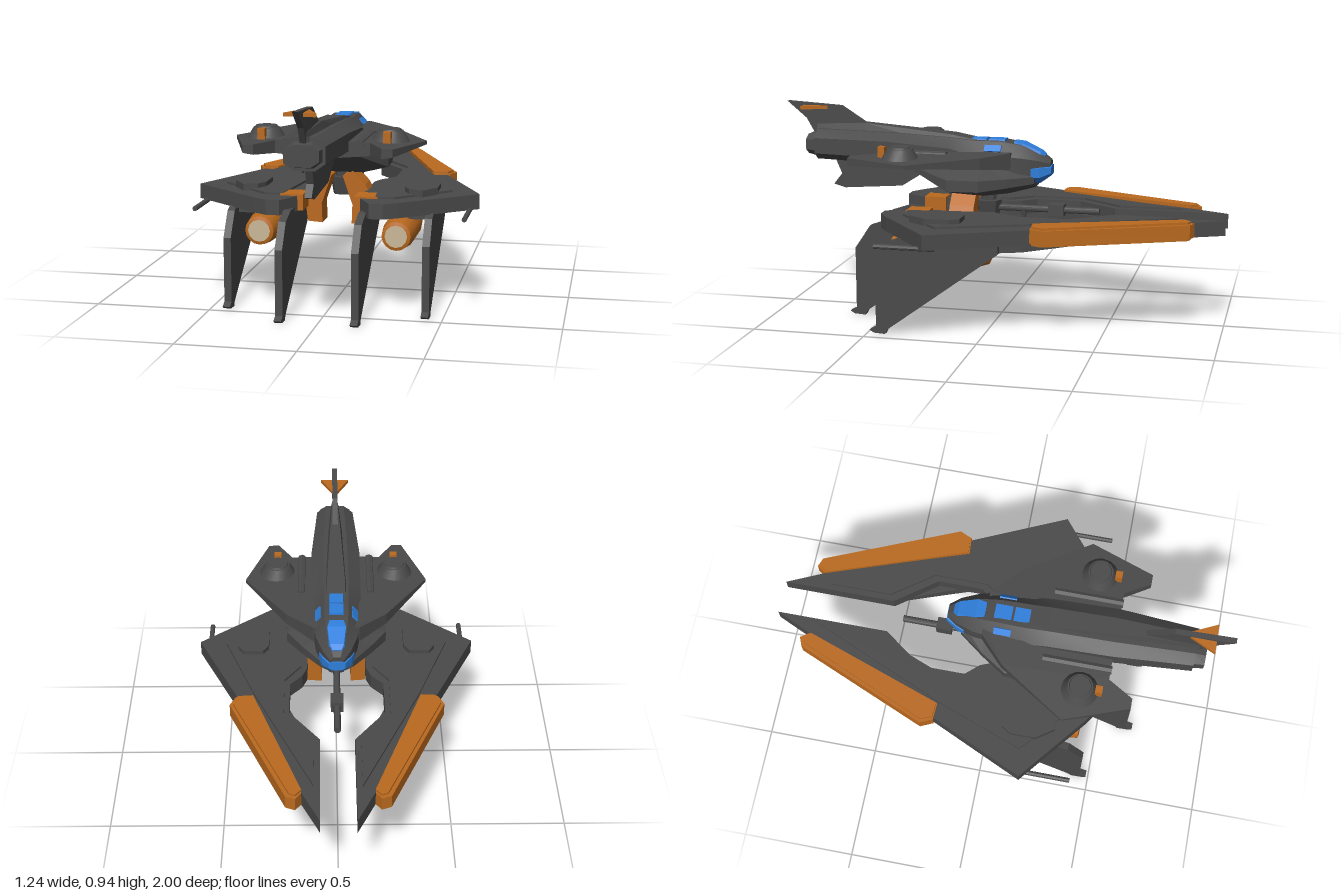
import * as THREE from 'three';
import { toCreasedNormals } from 'three/addons/utils/BufferGeometryUtils.js';

const paint = (name, color) => {
  const m = new THREE.MeshStandardMaterial({ color });
  m.name = name;
  return m;
};

// Skin a list of [z, ring] sections (z rising, ring counter-clockwise from +z), flat faces
function loft(sections) {
  const v = [];
  const put = (z, p) => v.push(p[0], p[1], z);
  const n = sections[0][1].length;
  for (let i = 0; i + 1 < sections.length; i++) {
    const [za, a] = sections[i], [zb, b] = sections[i + 1];
    for (let j = 0; j < n; j++) {
      const k = (j + 1) % n;
      put(za, a[j]); put(za, a[k]); put(zb, b[k]);
      put(za, a[j]); put(zb, b[k]); put(zb, b[j]);
    }
  }
  const [z0, first] = sections[0], [z1, last] = sections[sections.length - 1];
  for (let j = 1; j + 1 < n; j++) {
    put(z0, first[0]); put(z0, first[j + 1]); put(z0, first[j]);
    put(z1, last[0]); put(z1, last[j]); put(z1, last[j + 1]);
  }
  const g = new THREE.BufferGeometry();
  g.setAttribute('position', new THREE.Float32BufferAttribute(v, 3));
  g.computeVertexNormals();
  return g;
}

// Eight-sided hull section, and a four-sided one
const octagon = ([z, w, yb, y1, y2, yt]) => [z, [
  [w * 0.5, yb], [w, y1], [w, y2], [w * 0.5, yt],
  [-w * 0.5, yt], [-w, y2], [-w, y1], [-w * 0.5, yb]]];
const quad = (z, wb, wt, yb, yt) => [z, [[-wb, yb], [wb, yb], [wt, yt], [-wt, yt]]];

const shapeOf = pts => new THREE.Shape(pts.map(p => new THREE.Vector2(p[0], p[1])));
const extrude = (pts, depth) =>
  new THREE.ExtrudeGeometry(shapeOf(pts), { depth, bevelEnabled: false });

// Slab from an [x, z] outline between two heights
const slab = (pts, y0, y1, s = 1) =>
  extrude(pts.map(([x, z]) => [x * s, -z]), y1 - y0).rotateX(-Math.PI / 2).translate(0, y0, 0);

// Upright fin from a [z, y] outline, centred on x
const fin = (pts, x, t) => extrude(pts, t).rotateY(-Math.PI / 2).translate(x + t / 2, 0, 0);

const rod = (r0, r1, len, sides = 12) =>
  toCreasedNormals(new THREE.CylinderGeometry(r0, r1, len, sides), 0.7);
const box = (w, h, d) => new THREE.BoxGeometry(w, h, d);

export function createModel() {
  const group = new THREE.Group();
  const grey = paint('dark grey', 0x4a4a4a);
  const orange = paint('orange', 0xbb6a1f);
  const blue = paint('blue glass', 0x2f7fdc);
  const beige = paint('beige glow', 0xcab898);
  const add = (name, geo, mat, x = 0, y = 0, z = 0) => {
    const m = new THREE.Mesh(geo, mat);
    m.name = name;
    m.position.set(x, y, z);
    group.add(m);
    return m;
  };

  // Upper craft: fuselage, belly, exhaust and spine
  add('fuselage', toCreasedNormals(loft([
    [-0.225, 0.03, 0.66, 0.67, 0.705, 0.72], [-0.18, 0.06, 0.62, 0.65, 0.72, 0.75],
    [-0.1, 0.09, 0.60, 0.65, 0.735, 0.785], [0, 0.105, 0.60, 0.66, 0.74, 0.80],
    [0.12, 0.11, 0.62, 0.69, 0.745, 0.80], [0.22, 0.11, 0.66, 0.70, 0.77, 0.81],
    [0.5, 0.11, 0.68, 0.715, 0.79, 0.822], [0.85, 0.085, 0.69, 0.72, 0.79, 0.825],
  ].map(octagon)), 0.4), grey);
  add('belly', loft([
    [-0.16, 0.07, 0.60, 0.62, 0.65, 0.68], [-0.05, 0.15, 0.575, 0.61, 0.65, 0.69],
    [0.06, 0.22, 0.565, 0.60, 0.65, 0.695], [0.2, 0.225, 0.572, 0.60, 0.65, 0.70],
    [0.3, 0.17, 0.63, 0.64, 0.67, 0.70], [0.4, 0.12, 0.67, 0.68, 0.70, 0.72],
  ].map(octagon)), grey);
  add('exhaust', loft([octagon([0.84, 0.075, 0.70, 0.73, 0.78, 0.81]),
    octagon([0.895, 0.07, 0.712, 0.735, 0.78, 0.80])]), grey);
  add('spine', loft([quad(0.1, 0.05, 0.04, 0.77, 0.80), quad(0.22, 0.06, 0.04, 0.77, 0.822),
    quad(0.63, 0.045, 0.022, 0.77, 0.857), quad(0.86, 0.03, 0.012, 0.77, 0.845)]), grey);
  add('tailFin', fin([[0.6, 0.82], [0.63, 0.857], [0.745, 0.93], [1, 0.945], [0.91, 0.87],
    [0.87, 0.80], [0.7, 0.79]], 0, 0.024), grey);
  add('tailplane', slab([[0.012, 0.81], [0.065, 0.92], [-0.065, 0.92], [-0.012, 0.81]],
    0.914, 0.929), orange);
  add('ventralFin', fin([[0.28, 0.69], [0.46, 0.575], [0.73, 0.555], [0.785, 0.57],
    [0.745, 0.62], [0.78, 0.70]], 0, 0.03), grey);

  // Cockpit glass
  add('frontCanopy', loft([quad(-0.2, 0.024, 0.02, 0.727, 0.741),
    quad(-0.18, 0.036, 0.03, 0.742, 0.757), quad(-0.1, 0.044, 0.04, 0.778, 0.793),
    quad(-0.06, 0.036, 0.03, 0.785, 0.799)]), blue);
  for (const [a, b] of [[-0.02, 0.055], [0.065, 0.14]])
    add('roofPane', loft([quad(a, 0.034, 0.03, 0.794, 0.806),
      quad(b, 0.034, 0.03, 0.794, 0.806)]), blue);
  add('noseVisor', loft([octagon([-0.229, 0.036, 0.653, 0.663, 0.69, 0.697]),
    octagon([-0.18, 0.065, 0.618, 0.646, 0.69, 0.70]),
    octagon([-0.145, 0.077, 0.617, 0.648, 0.685, 0.70])]), blue);

  // Lower craft: hub, column and forward gun
  add('hub', rod(0.06, 0.045, 0.08, 8), grey, 0, 0.49, 0.06);
  add('column', rod(0.035, 0.035, 0.1, 8), grey, 0, 0.55, 0.06);
  add('hubTip', rod(0.015, 0.006, 0.06, 8), grey, 0, 0.465, -0.1);
  add('gunBarrel', rod(0.015, 0.015, 0.46).rotateX(Math.PI / 2), grey, 0, 0.495, -0.21);
  add('gunSleeve', box(0.055, 0.05, 0.07), grey, 0, 0.495, -0.25);

  for (const s of [1, -1]) {
    // Upper wing, thinning toward its tip
    const wing = slab([[0.05, -0.06], [0.1, -0.06], [0.22, 0.05], [0.41, 0.34], [0.31, 0.62],
      [0.265, 0.62], [0.2, 0.51], [0.05, 0.51]], 0, 1, s);
    const p = wing.attributes.position;
    for (let i = 0; i < p.count; i++) {
      const t = Math.max(0, (Math.abs(p.getX(i)) - 0.1) / 0.31);
      p.setY(i, p.getY(i) > 0.5 ? 0.758 - 0.016 * t : 0.685 + 0.042 * t);
    }
    wing.computeVertexNormals();
    add('upperWing', wing, grey);
    add('wingDome', rod(0.055, 0.088, 0.055, 16), grey, 0.265 * s, 0.763, 0.395);
    add('domeCap', rod(0.045, 0.05, 0.01, 16), grey, 0.265 * s, 0.793, 0.395);
    add('domeMarker', box(0.032, 0.048, 0.03), orange, 0.265 * s, 0.772, 0.475);
    add('wingRootTube', rod(0.02, 0.02, 0.3, 8).rotateX(Math.PI / 2), grey, 0.155 * s, 0.745, 0.365);
    add('sidePane', box(0.032, 0.009, 0.075), blue, 0.08 * s, 0.772, 0.025).rotation.z = -s * 0.85;

    // Lower wing with its long forward prong
    add('lowerWing', slab([[0.074, -1], [0.62, 0.2], [0.31, 0.45], [0.25, 0.49], [0.19, 0.49],
      [0.13, 0.38], [0.13, 0.0], [0.153, -0.06], [0.206, -0.12], [0.206, -0.32],
      [0.074, -0.5]], 0.43, 0.495, s), grey);
    add('wingDeck', slab([[0.1, -0.8], [0.36, -0.2], [0.5, 0.18], [0.28, 0.38], [0.2, 0.38],
      [0.16, 0.0], [0.23, -0.1], [0.23, -0.34], [0.1, -0.52]], 0.49, 0.505, s), grey);
    add('edgeGuard', slab([[0.15, -0.84], [0.175, -0.876], [0.215, -0.86], [0.465, -0.27],
      [0.44, -0.215], [0.365, -0.21]], 0.44, 0.5, s), orange);
    add('edgeGuardCore', slab([[0.15, -0.83], [0.175, -0.86], [0.2, -0.85], [0.45, -0.27],
      [0.43, -0.22], [0.365, -0.215]], 0.428, 0.51, s), orange);
    add('deckPod', slab([[0.33, 0.09], [0.42, 0.09], [0.445, 0.13], [0.445, 0.24], [0.39, 0.32],
      [0.33, 0.3], [0.305, 0.25], [0.305, 0.13]], 0.49, 0.525, s), grey);

    // Keel beneath the lower wing
    const keel = [[-0.75, 0.085, 0.16, 0.43], [-0.45, 0.12, 0.26, 0.41], [-0.17, 0.23, 0.38, 0.385],
      [0.02, 0.2, 0.43, 0.38], [0.32, 0.21, 0.43, 0.40]];
    add('keel', loft(keel.map(([z, a, b, y]) => {
      const ring = [[a * s, y], [b * s, y], [b * s, 0.44], [a * s, 0.44]];
      return [z, s > 0 ? ring : ring.reverse()];
    })), grey);

    // Engine pod with glowing outlet
    const pod = new THREE.LatheGeometry([[0, -0.03], [0.04, -0.01], [0.06, 0.05], [0.071, 0.15],
      [0.071, 0.34], [0.062, 0.42], [0.046, 0.425], [0.046, 0.41]]
      .map(q => new THREE.Vector2(...q)), 16).rotateX(Math.PI / 2);
    add('engine', toCreasedNormals(pod, 0.7), orange, 0.295 * s, 0.345, 0);
    add('engineGlow', new THREE.CircleGeometry(0.048, 12), beige, 0.295 * s, 0.345, 0.427);

    // Hanging blades, the inner one set further back
    for (const [x, dz] of [[0.427, 0], [0.16, 0.175]]) {
      const blade = [[0.46, 0.315], [0.39, 0.42], [0.3, 0.45], [-0.08, 0.44], [-0.08, 0.385],
        [0.41, 0.025], [0.42, 0.005], [0.47, 0.008], [0.49, 0.02], [0.46, 0.035]];
      add('blade', fin(blade.map(([z, y]) => [z + dz, y]), x * s, 0.032), grey);
    }

    // Jointed arm and its link to the wing
    add('claspArm', extrude([[0.025, 0.555], [0.07, 0.578], [0.125, 0.52], [0.145, 0.48],
      [0.13, 0.35], [0.065, 0.345], [0.068, 0.43]].map(([x, y]) => [x * s, y]), 0.11)
      .translate(0, 0, 0.1), orange);
    add('armLink', box(0.1, 0.07, 0.1), orange, 0.16 * s, 0.468, 0.34);
    add('wingRod', rod(0.011, 0.011, 0.26, 8).rotateX(Math.PI / 2), grey, 0.58 * s, 0.428, 0.29);
  }
  return group;
}
